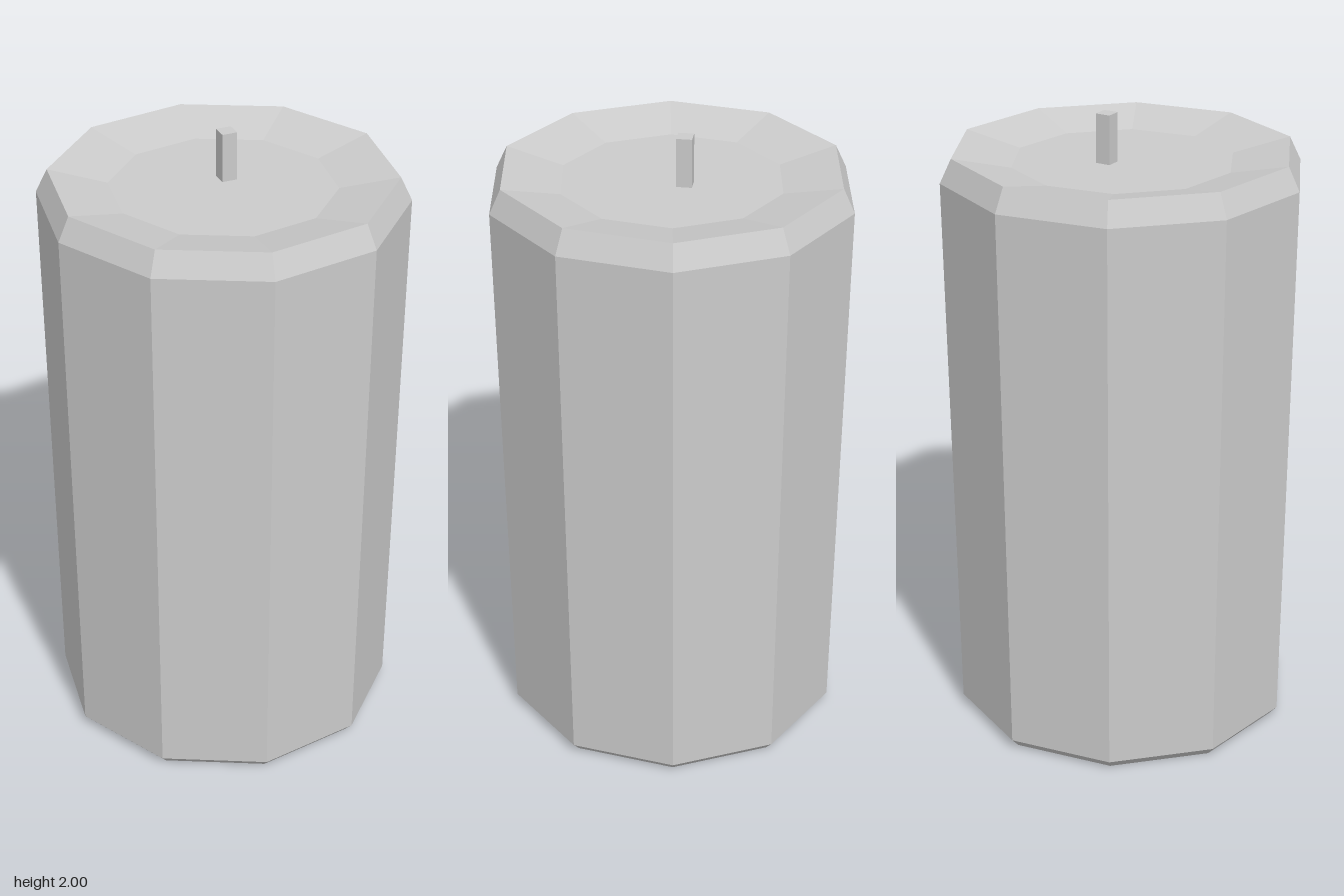
import * as THREE from 'three';

const material = new THREE.MeshStandardMaterial({ color: 0xcccccc, flatShading: true });

// Faceted mesh with one normal per face
function facetedMesh(name, geometry) {
  const flat = geometry.toNonIndexed();
  flat.computeVertexNormals();
  const mesh = new THREE.Mesh(flat, material);
  mesh.name = name;
  return mesh;
}

export function createModel() {
  const group = new THREE.Group();
  group.name = 'candle';

  // Ten-sided wax body: chamfered base, slight flare, bevelled rim, dished top
  const profile = [
    [0, 0], [0.523, 0], [0.55, 0.03], [0.57, 1.81],
    [0.534, 1.885], [0.35, 1.845], [0, 1.845],
  ].map(([r, y]) => new THREE.Vector2(r, y));
  group.add(facetedMesh('waxBody', new THREE.LatheGeometry(profile, 10)));

  // Square wick set slightly off centre, sunk a little into the wax
  const bottom = 1.82, top = 2;
  const wick = facetedMesh('wick', new THREE.CylinderGeometry(0.034, 0.034, top - bottom, 4));
  wick.position.set(-0.01, (bottom + top) / 2, -0.054);
  group.add(wick);

  return group;
}
